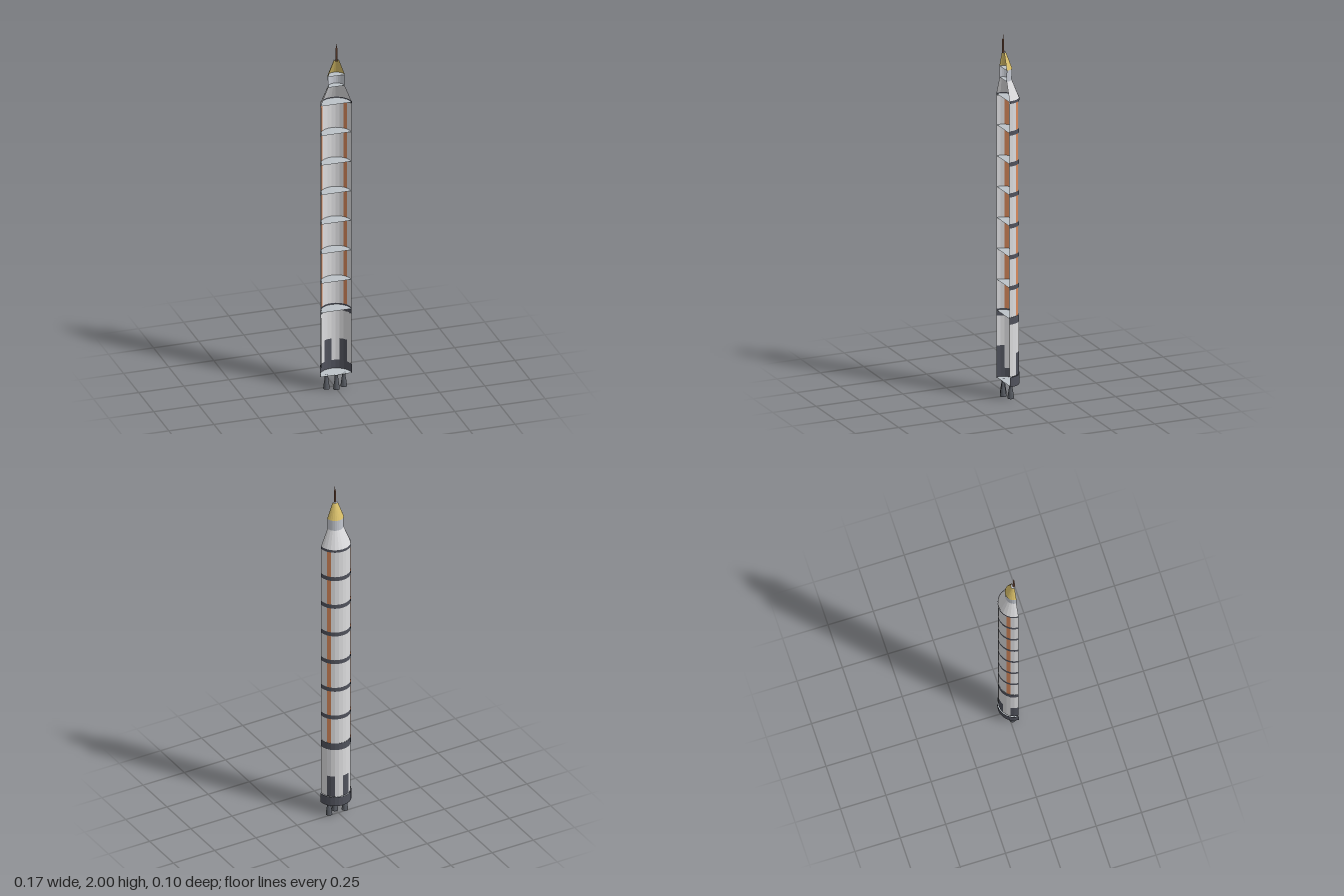
import * as THREE from 'three';

const AXIS_Z = 0.035;          // the cut plane runs through the rocket's axis
const STEP = Math.PI / 12;     // 24-sided hull

function paint(name, color) {
  const m = new THREE.MeshStandardMaterial({ color, side: THREE.DoubleSide, flatShading: true });
  m.name = name;
  return m;
}

export function createModel() {
  const white = paint('hull white', 0xdcdcde);
  const dark = paint('band charcoal', 0x50525c);
  const orange = paint('stripe orange', 0xd98a5c);
  const gold = paint('nose gold', 0xdac06a);
  const grey = paint('collar grey', 0xc6cad2);
  const floorGrey = paint('deck grey', 0xbcc3c8);
  const metal = paint('nozzle metal', 0x585c63);
  const brown = paint('spike brown', 0x96664f);

  const rocket = new THREE.Group();
  rocket.name = 'cutawayRocket';
  const body = new THREE.Group();
  body.name = 'body';
  body.position.z = AXIS_Z;
  rocket.add(body);

  const add = (name, geometry, material, x = 0, y = 0, z = 0) => {
    const mesh = new THREE.Mesh(geometry, material);
    mesh.name = name;
    mesh.position.set(x, y, z);
    body.add(mesh);
    return mesh;
  };

  // Open wall between two heights, covering hull facets from..to (0 = +x side, 12 = -x side)
  const wall = (name, y0, y1, r0, r1, material, from = 0, to = 12) =>
    add(name, new THREE.CylinderGeometry(r1, r0, y1 - y0, to - from, 1, true,
      Math.PI / 2 + from * STEP, (to - from) * STEP), material, 0, (y0 + y1) / 2);

  // Half-disc deck
  const deck = (name, y, r, material = floorGrey) => {
    const g = new THREE.CircleGeometry(r, 12, 0, Math.PI);
    g.rotateX(-Math.PI / 2);
    add(name, g, material, 0, y);
  };

  const R = 0.083;

  // Engine skirt and lower tank with painted blocks
  wall('engineSkirt', 0.075, 0.13, 0.087, 0.087, dark);
  deck('engineDeck', 0.08, 0.087);
  for (let i = 0; i < 12; i += 2) {
    const isDark = i % 4 === 2;
    wall(isDark ? 'skirtBlock' : 'lowerTankPanel', 0.13, 0.255, R, R, isDark ? dark : white, i, i + 2);
  }
  wall('lowerTank', 0.255, 0.42, R, R, white);
  wall('stageBand', 0.42, 0.46, 0.084, 0.084, dark);
  deck('stageDeck', 0.452, R);

  // Upper tank with a stripe on each side
  const lanes = [[0, 2, white], [2, 3, orange], [3, 9, white], [9, 10, orange], [10, 12, white]];
  for (const [from, to, material] of lanes) {
    wall(material === orange ? 'sideStripe' : 'upperTankPanel', 0.46, 1.642, R, R, material, from, to);
  }

  // Ring bands with a deck inside each
  for (let i = 0; i < 6; i++) {
    const y = 0.622 + i * 0.1712;
    wall('ringBand', y - 0.012, y + 0.012, 0.084, 0.084, dark);
    deck('ringDeck', y, R);
  }
  wall('topBand', 1.642, 1.657, 0.085, 0.085, dark);
  deck('topDeck', 1.65, R);

  // Shoulder, collar and nose
  wall('shoulder', 1.655, 1.753, 0.084, 0.045, white);
  deck('collarDeck', 1.753, 0.045);
  wall('collar', 1.753, 1.815, 0.045, 0.046, grey);
  deck('noseDeck', 1.815, 0.047);
  wall('nose', 1.815, 1.905, 0.047, 0.014, gold);
  deck('noseCap', 1.905, 0.016, grey);

  // Spike
  add('spikeBase', new THREE.CylinderGeometry(0.005, 0.006, 0.075, 10), brown, 0, 1.9375);
  add('spikeTip', new THREE.CylinderGeometry(0.001, 0.003, 0.03, 8), brown, 0, 1.985);

  // Engine nozzles
  const bell = [[0.001, 0.08], [0.009, 0.08], [0.01, 0.055], [0.014, 0.03], [0.0175, 0]]
    .map(([r, y]) => new THREE.Vector2(r, y));
  for (const [x, z] of [[0, 0], [0.048, -0.022], [-0.048, -0.022]]) {
    add('nozzle', new THREE.LatheGeometry(bell, 14), metal, x, 0, z);
  }
  return rocket;
}
